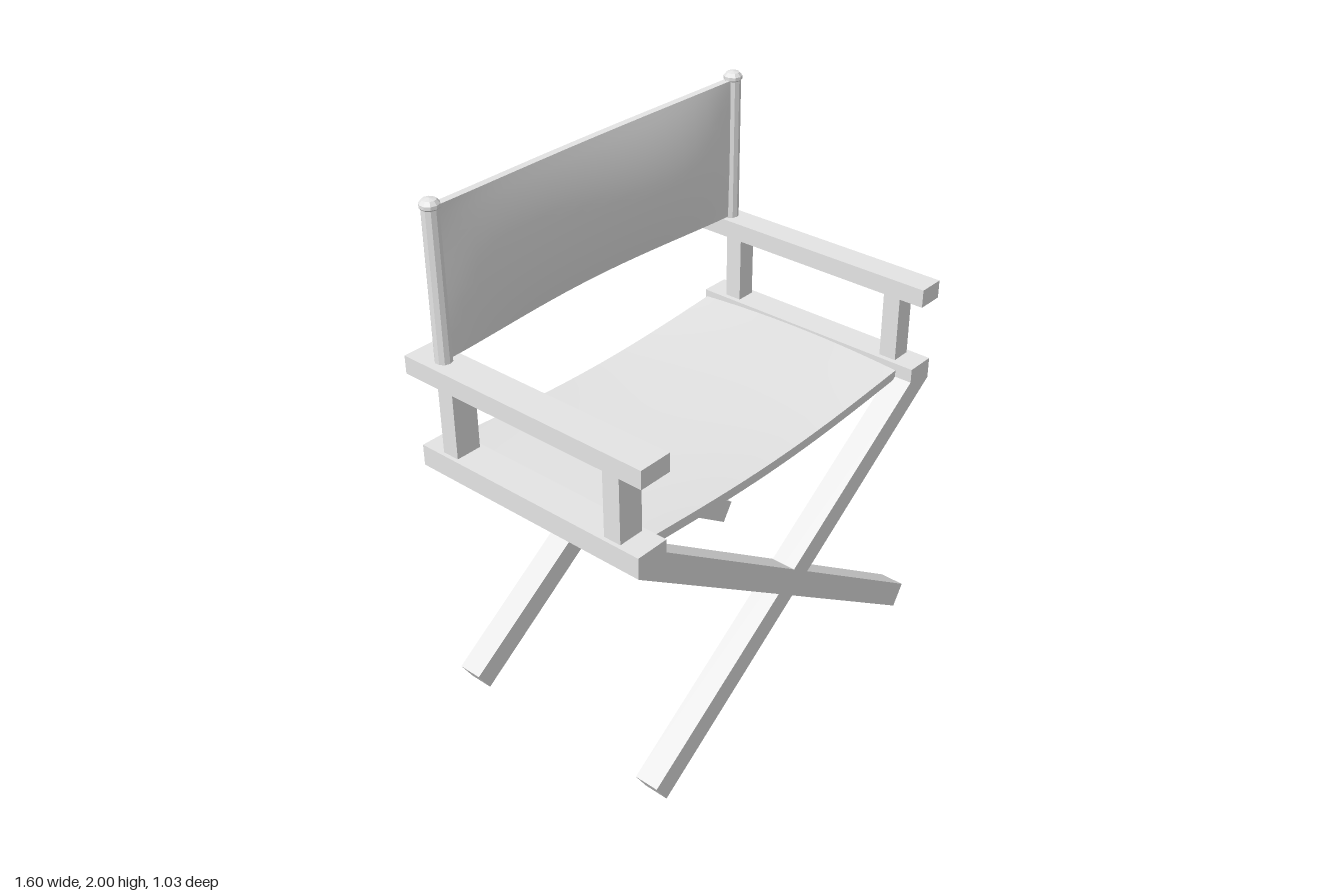
import * as THREE from 'three';

export function createModel() {
  const group = new THREE.Group();
  const grey = new THREE.MeshStandardMaterial({ color: 0xe4e4e4 });
  grey.name = 'light grey';

  const add = (name, geometry) => {
    const mesh = new THREE.Mesh(geometry, grey);
    mesh.name = name;
    group.add(mesh);
  };

  // Box given by its limits on each axis
  const slab = (name, [x0, x1], [y0, y1], [z0, z1]) => {
    const g = new THREE.BoxGeometry(x1 - x0, y1 - y0, z1 - z0);
    g.translate((x0 + x1) / 2, (y0 + y1) / 2, (z0 + z1) / 2);
    add(name, g);
  };

  // Crossed legs, one X at the front and one at the back
  const legOutlines = {
    leftLeg: [[-0.68, 0], [0.795, 1.02], [0.79, 1.05], [0.685, 1.05], [-0.73, 0.08]],
    rightLeg: [[0.7, 0], [0.75, 0.08], [-0.67, 1.05], [-0.79, 1.05], [-0.8, 1.02]],
  };
  for (const [end, z0] of [['front', 0.405], ['back', -0.47]]) {
    for (const [leg, outline] of Object.entries(legOutlines)) {
      const shape = new THREE.Shape(outline.map(([x, y]) => new THREE.Vector2(x, y)));
      const g = new THREE.ExtrudeGeometry(shape, { depth: 0.095, bevelEnabled: false });
      g.translate(0, 0, z0);
      add(`${end} ${leg}`, g);
    }
  }

  // Each side: seat rail, two arm posts, armrest and back pole
  const sides = [
    { side: 'right', rail: [-0.8, -0.67], post: [-0.785, -0.685], arm: [-0.798, -0.67], pole: -0.737 },
    { side: 'left', rail: [0.68, 0.795], post: [0.7, 0.777], arm: [0.687, 0.79], pole: 0.737 },
  ];
  const poleProfile = [
    [0, 1.4], [0.031, 1.4], [0.03, 1.965], [0.035, 1.97], [0.035, 1.982], [0.024, 1.995], [0, 2],
  ].map(([r, y]) => new THREE.Vector2(r, y));
  for (const { side, rail, post, arm, pole } of sides) {
    slab(`${side} seat rail`, rail, [1.02, 1.1], [-0.47, 0.5]);
    slab(`${side} front post`, post, [1.09, 1.37], [0.345, 0.413]);
    slab(`${side} back post`, post, [1.09, 1.37], [-0.382, -0.315]);
    slab(`${side} armrest`, arm, [1.357, 1.425], [-0.52, 0.515]);
    const g = new THREE.LatheGeometry(poleProfile, 10).toNonIndexed();
    g.computeVertexNormals();
    g.translate(pole, 0, -0.397);
    add(`${side} back pole`, g);
  }

  // Cloth panel: a finely divided box bent by a rule
  const cloth = (name, size, segments, bend) => {
    const g = new THREE.BoxGeometry(...size, ...segments);
    const p = g.attributes.position;
    const v = new THREE.Vector3();
    for (let i = 0; i < p.count; i++) {
      bend(v.fromBufferAttribute(p, i));
      p.setXYZ(i, v.x, v.y, v.z);
    }
    g.computeVertexNormals();
    add(name, g);
  };
  const arch = (u) => Math.max(Math.cos((Math.PI / 2) * u), 0);

  // Seat: sags across its width and is padded above and below
  cloth('seat cloth', [1.37, 0.035, 0.894], [20, 1, 14], (v) => {
    const across = arch(v.x / 0.685);
    const along = 1 - (v.z / 0.447) ** 2;
    const pad = along * (0.018 + 0.02 * across);
    v.y += 1.056 - 0.034 * across + Math.sign(v.y) * pad;
    v.x += 0.006;
    v.z -= 0.015;
  });

  // Backrest: bows backward at the middle and is padded front and back
  cloth('backrest cloth', [1.45, 0.54, 0.028], [20, 14, 1], (v) => {
    const u = v.x / 0.725;
    const h = v.y / 0.27;
    const bow = arch(u) ** 1.4;
    const pad = 0.03 * (1 - h * h) * (1 - u ** 4);
    v.z += -0.4 - 0.04 * bow + Math.sign(v.z) * pad;
    v.y += 1.7 - 0.018 * bow * Math.max(h, 0);
  });

  return group;
}
